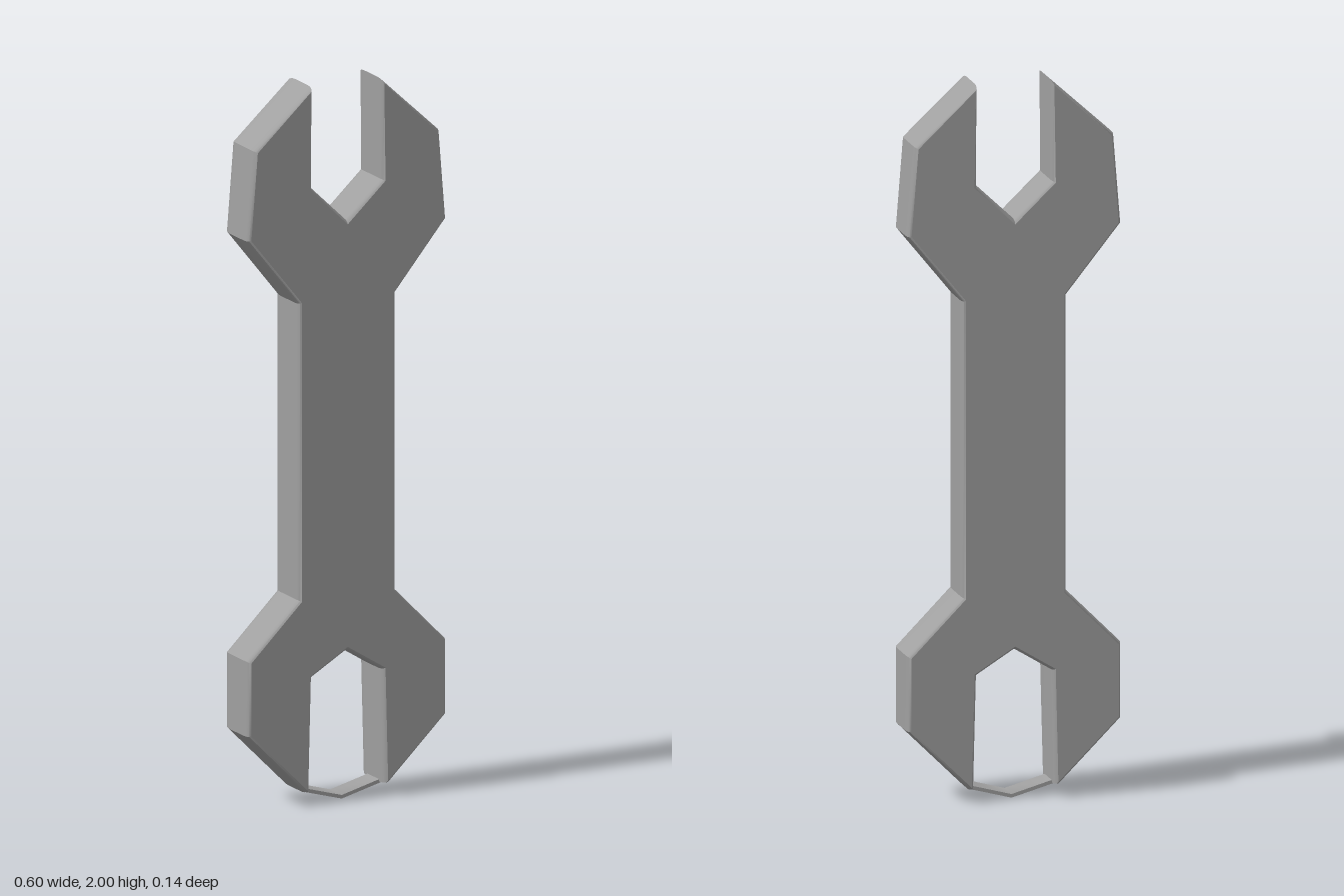
import * as THREE from 'three';
import { toCreasedNormals } from 'three/addons/utils/BufferGeometryUtils.js';

const steel = new THREE.MeshStandardMaterial({ color: 0xa0a0a0 });
steel.name = 'grey steel';

// Mirrors the right half of an outline, then extrudes it centred on z = 0
function symmetricPlate(name, half, thickness, bevelDepth, bevelSize) {
  const right = half.map(([x, y]) => new THREE.Vector2(x, y));
  const left = half.filter(([x]) => x > 0).reverse().map(([x, y]) => new THREE.Vector2(-x, y));
  const depth = thickness - 2 * bevelDepth;
  const geometry = new THREE.ExtrudeGeometry(new THREE.Shape([...right, ...left]), {
    depth,
    bevelEnabled: bevelDepth > 0,
    bevelThickness: bevelDepth,
    bevelSize,
    bevelOffset: -bevelSize,
    bevelSegments: 3,
  });
  geometry.translate(0, 0, -depth / 2);
  const mesh = new THREE.Mesh(toCreasedNormals(geometry, 0.6), steel);
  mesh.name = name;
  return mesh;
}

export function createModel() {
  const group = new THREE.Group();
  group.name = 'wrench';

  // Handle with an open jaw at each end, bottom notch to top notch
  group.add(symmetricPlate('wrenchBody', [
    [0, 0.42], [0.105, 0.355], [0.113, 0.035], [0.125, 0.035], [0.3, 0.21], [0.3, 0.42],
    [0.147, 0.575], [0.147, 1.4], [0.3, 1.59], [0.28, 1.84],
    [0.105, 2], [0.105, 1.72], [0, 1.62],
  ], 0.143, 0.03, 0.009));

  // Thin band closing the lower jaw
  group.add(symmetricPlate('lowerBand', [
    [0, 0], [0.12, 0.033], [0.115, 0.042], [0, 0.01],
  ], 0.07, 0, 0));

  return group;
}
